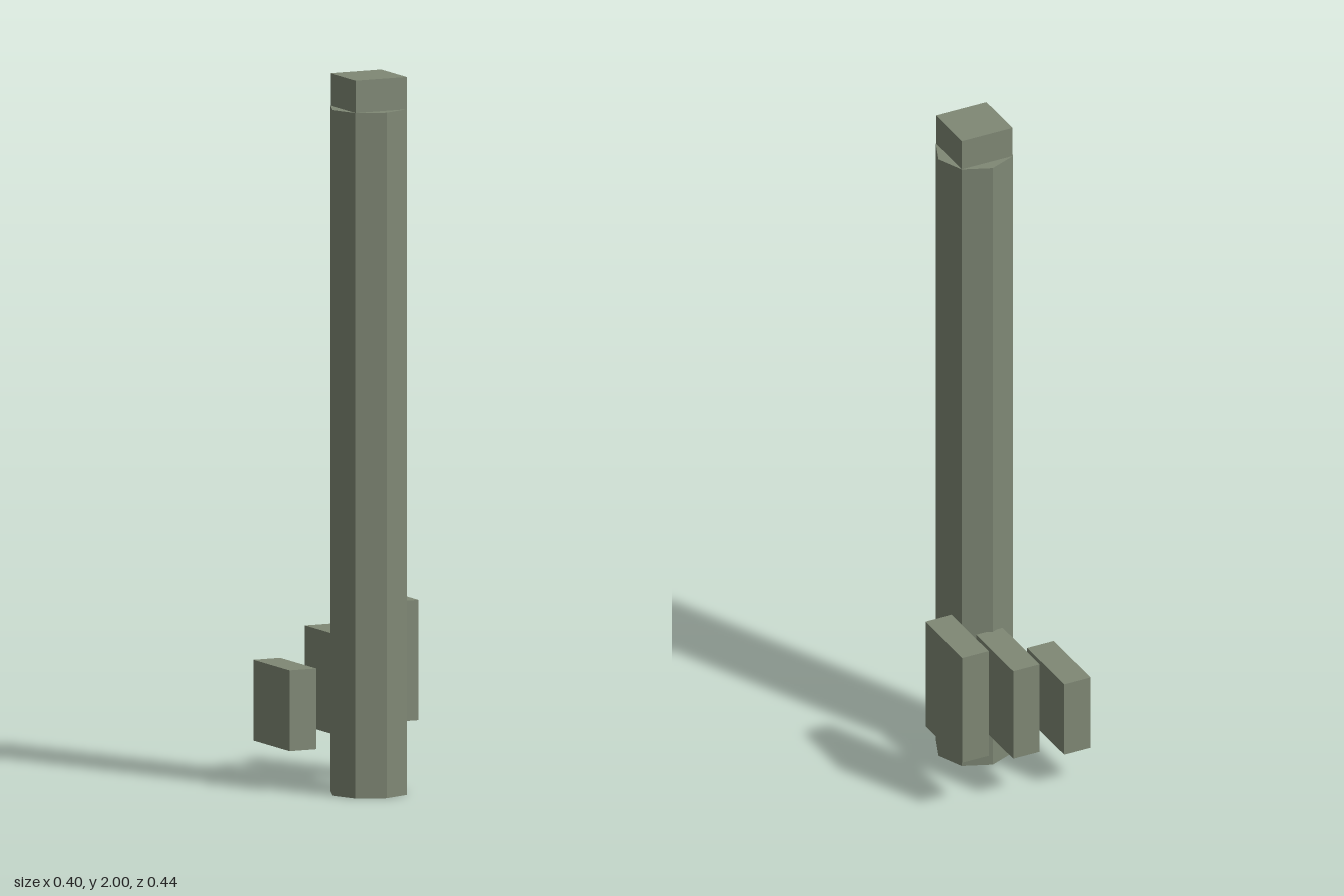
import * as THREE from 'three';

export function createModel() {
  const model = new THREE.Group();
  const stone = new THREE.MeshStandardMaterial({ color: 0x7f8875, flatShading: true });
  stone.name = 'grey green stone';

  const add = (name, geometry, x, y, z) => {
    const mesh = new THREE.Mesh(geometry, stone);
    mesh.name = name;
    mesh.position.set(x, y, z);
    model.add(mesh);
  };

  // Eight-sided post with a square cap
  const postX = -0.007, postZ = 0.106, postHeight = 1.91;
  add('post', new THREE.CylinderGeometry(0.112, 0.112, postHeight, 8), postX, postHeight / 2, postZ);
  add('cap', new THREE.BoxGeometry(0.157, 0.09, 0.157), postX, postHeight + 0.045, postZ);

  // Three upright slabs behind the post, growing taller towards the left
  ['rightSlab', 'middleSlab', 'leftSlab'].forEach((name, i) => {
    const bottom = 0.115 + i * 0.03;
    const height = 0.225 + i * 0.055;
    add(name, new THREE.BoxGeometry(0.082, height, 0.222), (i - 1) * 0.158, bottom + height / 2, -0.11);
  });

  return model;
}
